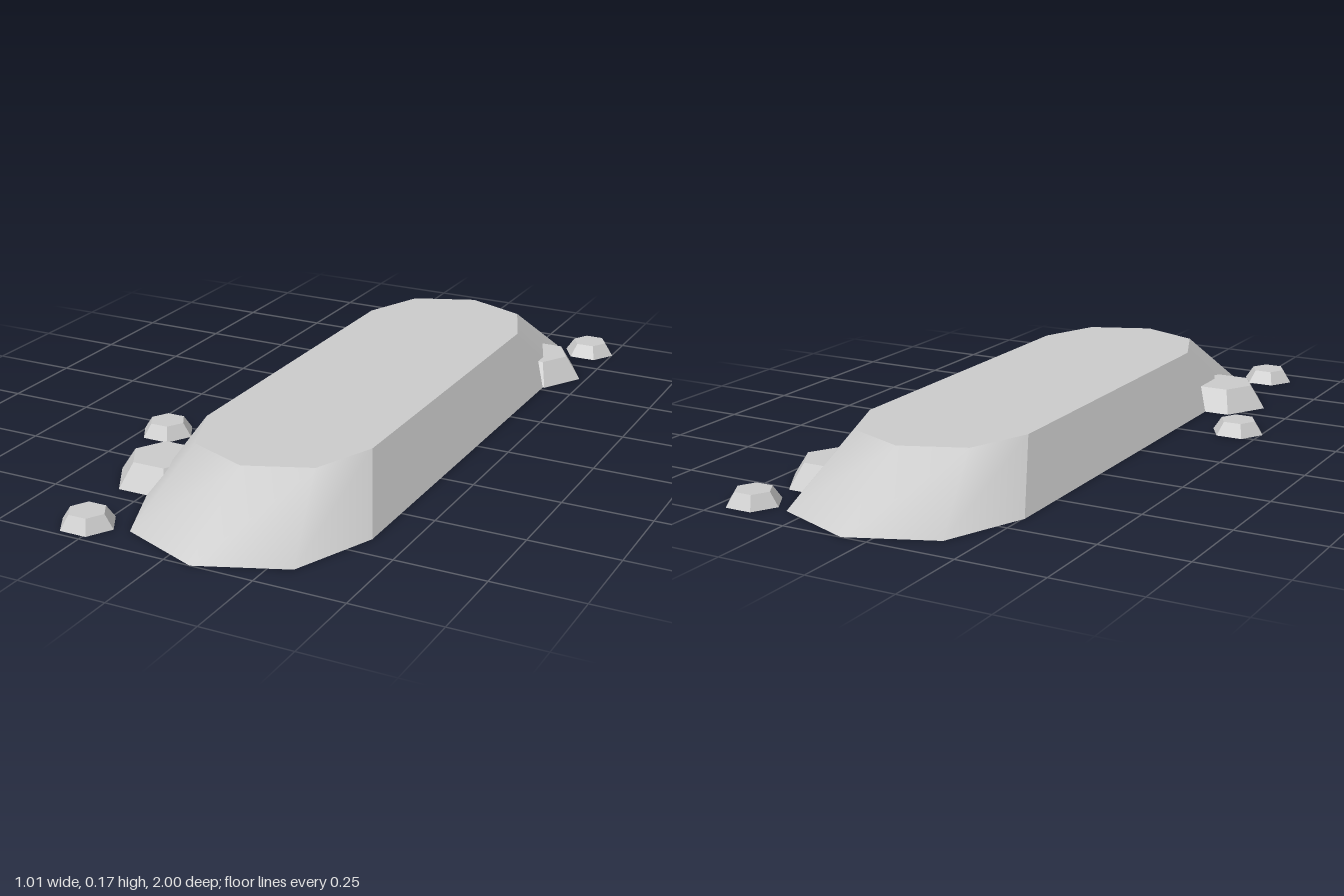
import * as THREE from 'three';
import { mergeGeometries } from 'three/addons/utils/BufferGeometryUtils.js';

const material = new THREE.MeshStandardMaterial({ color: 0xcccccc });
const HEIGHT = 0.167, TAPER = 0.75;

function indexed(positions, index) {
  const g = new THREE.BufferGeometry();
  g.setAttribute('position', new THREE.Float32BufferAttribute(positions, 3));
  g.setIndex(index);
  g.computeVertexNormals();
  return g;
}

// Sloping wall along a run of outline points, smooth within the run
function wall(points) {
  const pos = [], idx = [];
  points.forEach(([x, z], i) => {
    pos.push(x, 0, z, x * TAPER, HEIGHT, z * TAPER);
    const a = i * 2;
    if (i < points.length - 1) idx.push(a, a + 1, a + 2, a + 1, a + 3, a + 2);
  });
  return indexed(pos, idx);
}

// Flat cap over the whole outline, facing up or down
function cap(points, y, scale, up) {
  const pos = [0, y, 0], idx = [], n = points.length;
  points.forEach(([x, z], i) => {
    pos.push(x * scale, y, z * scale);
    const a = i + 1, b = (i + 1) % n + 1;
    idx.push(0, ...(up ? [b, a] : [a, b]));
  });
  return indexed(pos, idx);
}

function createMound() {
  const front = [[0.33, 0.67], [0.235, 0.905], [0, 1], [-0.235, 0.905], [-0.33, 0.67]];
  const back = front.map(([x, z]) => [-x, -z]);
  const outline = [...front, ...back];
  const geometry = mergeGeometries([
    wall(front), wall([front[4], back[0]]),
    wall(back), wall([back[4], front[0]]),
    cap(outline, HEIGHT, TAPER, true), cap(outline, 0, 1, false),
  ]);
  const mound = new THREE.Mesh(geometry, material);
  mound.name = 'mound';
  mound.position.x = 0.075;
  return mound;
}

// Six-sided tapered stone with a corner pointing along x
function createRock(name, x, z, radius, height) {
  const geometry = new THREE.CylinderGeometry(radius * 0.67, radius, height, 6).toNonIndexed();
  geometry.rotateY(Math.PI / 6);
  geometry.computeVertexNormals();
  const rock = new THREE.Mesh(geometry, material);
  rock.name = name;
  rock.position.set(x, height / 2, z);
  return rock;
}

export function createModel() {
  const model = new THREE.Group();
  model.name = 'moundWithRocks';
  model.add(createMound());

  // Large rocks set into the mound's edge
  [[-0.26, 0.58], [0.34, -0.64]].forEach(([x, z], i) =>
    model.add(createRock(`largeRock${i + 1}`, x, z, 0.14, 0.067)));

  // Small loose rocks
  [[-0.427, 0.305], [-0.28, 0.915], [0.424, -0.89]].forEach(([x, z], i) =>
    model.add(createRock(`smallRock${i + 1}`, x, z, 0.078, 0.038)));

  return model;
}
